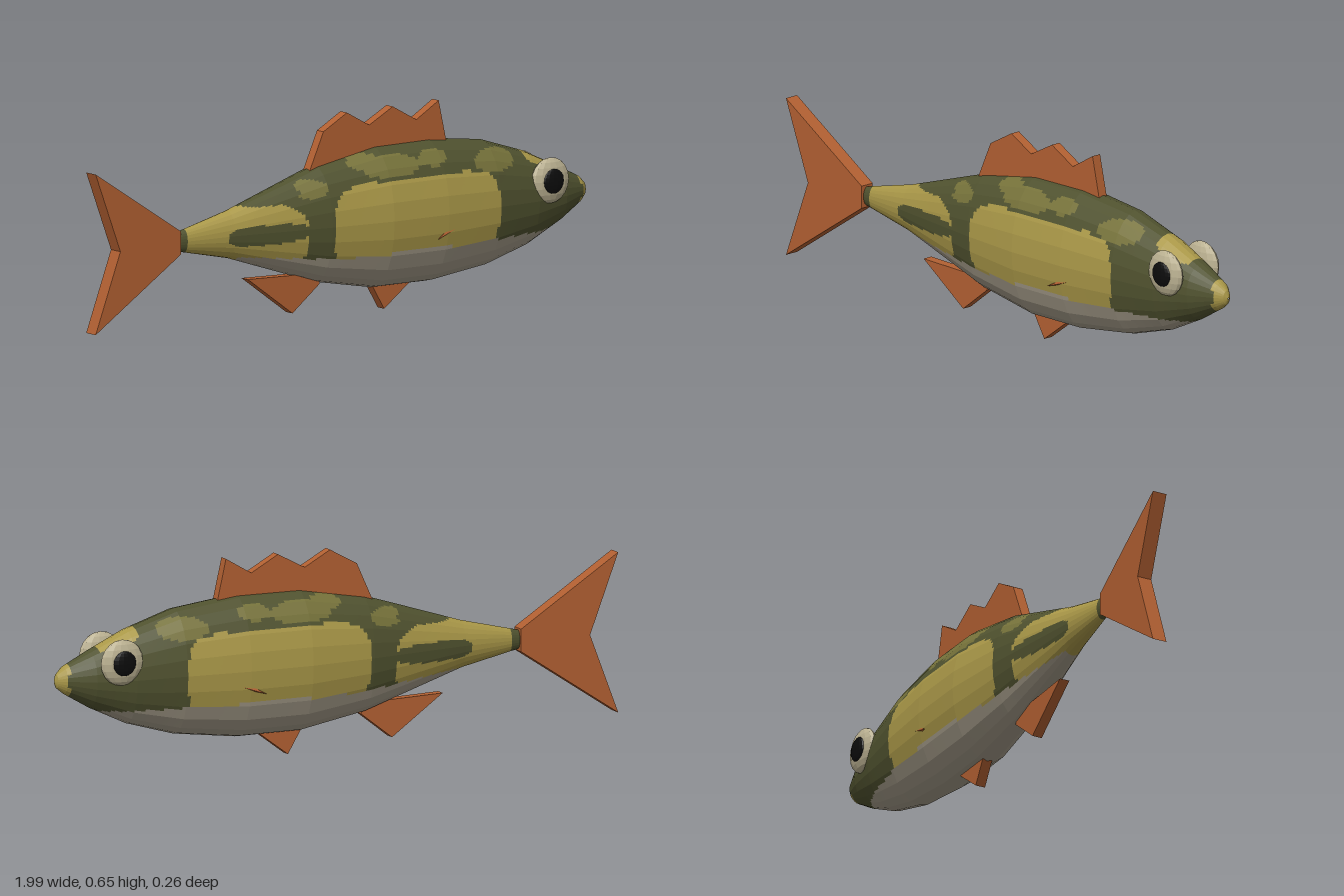
import * as THREE from 'three';

const mat = (name, color, side = THREE.FrontSide) => {
  const m = new THREE.MeshStandardMaterial({ color, flatShading: true, side });
  m.name = name;
  return m;
};
const M = {
  back: mat('darkOlive', 0x50522f),
  blotch: mat('midOlive', 0x76723a),
  flank: mat('yellowOlive', 0xaa9848),
  belly: mat('paleBelly', 0xa39a88),
  fin: mat('rustFin', 0xb26032),
  eye: mat('creamEye', 0xbcb292),
  pupil: mat('blackPupil', 0x0c0c0c),
};

// body stations: x, top, bottom, half width
const STATIONS = [
  [-0.66, 0.335, 0.275, 0.016], [-0.45, 0.385, 0.23, 0.045], [-0.1, 0.495, 0.115, 0.1],
  [0.13, 0.535, 0.072, 0.125], [0.35, 0.535, 0.07, 0.127], [0.57, 0.507, 0.097, 0.114],
  [0.74, 0.452, 0.145, 0.094], [0.87, 0.392, 0.206, 0.068], [0.96, 0.348, 0.258, 0.036],
  [0.985, 0.325, 0.278, 0.015], [0.993, 0.303, 0.297, 0.002],
];

// rounded blob test, p sets how square it is
const inside = (u, v, cu, cv, ru, rv, p = 2) =>
  Math.abs((u - cu) / ru) ** p + Math.abs((v - cv) / rv) ** p < 1;

// camouflage rule: which colour covers a point of the skin
function skinColour(x, y, z) {
  const az = Math.abs(z);
  if (y < 0.195 + Math.max(0, -x - 0.05) * 0.1 && x > -0.42) return 'belly';
  if (x > 0.945 && az < 0.034 && y > 0.25 && y < 0.352) return 'flank';
  if (inside(x, y, 0.24, 0.295, 0.325, 0.138, 5)) return 'flank';
  if (inside(x, az, 0.78, 0, 0.07, 0.056, 6) && y > 0.39) return 'flank';
  if (x < -0.63) return 'back';
  if (inside(x, y, -0.33, 0.3, 0.145, 0.032, 3)) return 'back';
  if (inside(x, y, -0.33, 0.425, 0.13, 0.035)) return 'back';
  if (inside(x, y, -0.44, 0.28, 0.26, 0.125, 3)) return 'flank';
  if (inside(x, y, 0.15, 0.475, 0.11, 0.036) || inside(x, y, 0.06, 0.495, 0.06, 0.025)
    || inside(x, y, 0.32, 0.485, 0.06, 0.025) || inside(x, y, 0.57, 0.45, 0.09, 0.036)
    || inside(x, y, -0.16, 0.43, 0.06, 0.03)) return 'blotch';
  return 'back';
}

// faceted loft, finely gridded so each cell can take its own colour
function makeBody() {
  const SIDES = 24, SUB = 4, CELLS = SIDES * SUB;
  const buckets = { back: [], blotch: [], flank: [], belly: [] };
  const corner = (s, k) => {
    const a = (k / SIDES) * Math.PI * 2;
    return new THREE.Vector3(s[0], (s[1] + s[2]) / 2 + Math.cos(a) * (s[1] - s[2]) / 2, Math.sin(a) * s[3]);
  };
  const onRing = (s, j) => {
    const k = Math.floor(j / SUB);
    return corner(s, k).lerp(corner(s, k + 1), j / SUB - k);
  };
  for (let i = 0; i < STATIONS.length - 1; i++) {
    const s0 = STATIONS[i], s1 = STATIONS[i + 1];
    const steps = Math.max(1, Math.round((s1[0] - s0[0]) / 0.012));
    const at = (t, j) => onRing(s0, j).lerp(onRing(s1, j), t / steps);
    for (let t = 0; t < steps; t++) for (let j = 0; j < CELLS; j++) {
      const a = at(t, j), b = at(t + 1, j), c = at(t + 1, j + 1), d = at(t, j + 1);
      const m = a.clone().add(c).multiplyScalar(0.5);
      const out = buckets[skinColour(m.x, m.y, m.z)];
      for (const p of [a, d, c, a, c, b]) out.push(p.x, p.y, p.z);
    }
  }
  const body = new THREE.Group();
  body.name = 'body';
  for (const [key, pos] of Object.entries(buckets)) {
    const g = new THREE.BufferGeometry();
    g.setAttribute('position', new THREE.Float32BufferAttribute(pos, 3));
    g.computeVertexNormals();
    const mesh = new THREE.Mesh(g, M[key]);
    mesh.name = key + 'Skin';
    body.add(mesh);
  }
  return body;
}

// flat fin cut from an outline in the x-y plane
function makeFin(name, points, half) {
  const shape = new THREE.Shape(points.map(([x, y]) => new THREE.Vector2(x, y)));
  const g = new THREE.ExtrudeGeometry(shape, { depth: half * 2, bevelEnabled: false });
  g.translate(0, 0, -half);
  const mesh = new THREE.Mesh(g, M.fin);
  mesh.name = name;
  return mesh;
}

function makeBall(name, material, r, depth, z) {
  const g = new THREE.SphereGeometry(r, 14, 10);
  g.scale(1, 1, depth / r);
  const mesh = new THREE.Mesh(g, material);
  mesh.name = name;
  mesh.position.z = z;
  return mesh;
}

export function createModel() {
  const fish = new THREE.Group();
  fish.name = 'fish';
  fish.add(makeBody());

  // fins on the centre line
  fish.add(
    makeFin('tailFin', [[-0.655, 0.342], [-1, 0.565], [-0.9, 0.303], [-1, 0.042], [-0.655, 0.268]], 0.025),
    makeFin('dorsalFin', [[-0.14, 0.46], [-0.075, 0.603], [0.02, 0.655], [0.11, 0.605], [0.205, 0.655],
      [0.3, 0.602], [0.39, 0.655], [0.425, 0.5]], 0.017),
    makeFin('analFin', [[-0.38, 0.155], [-0.2, 0.025], [-0.09, 0.11], [-0.1, 0.145]], 0.017),
    makeFin('pelvicFin', [[0.11, 0.1], [0.17, 0], [0.285, 0.085]], 0.017),
  );

  // eyes and pectoral fins on both sides
  for (const side of [1, -1]) {
    const eye = new THREE.Group();
    eye.name = side > 0 ? 'frontEye' : 'backEye';
    eye.add(makeBall('eyeball', M.eye, 0.075, 0.026, 0), makeBall('pupil', M.pupil, 0.041, 0.012, 0.02));
    eye.position.set(0.79, 0.36, side * 0.081);
    if (side < 0) eye.rotation.y = Math.PI;
    fish.add(eye);

    const g = new THREE.ConeGeometry(0.012, 0.09, 4);
    const pectoral = new THREE.Mesh(g, M.fin);
    pectoral.name = side > 0 ? 'frontPectoralFin' : 'backPectoralFin';
    pectoral.position.set(0.338, 0.241, side * 0.121);
    pectoral.quaternion.setFromUnitVectors(new THREE.Vector3(0, 1, 0),
      new THREE.Vector3(-0.9, -0.34, side * 0.24).normalize());
    fish.add(pectoral);
  }
  return fish;
}
